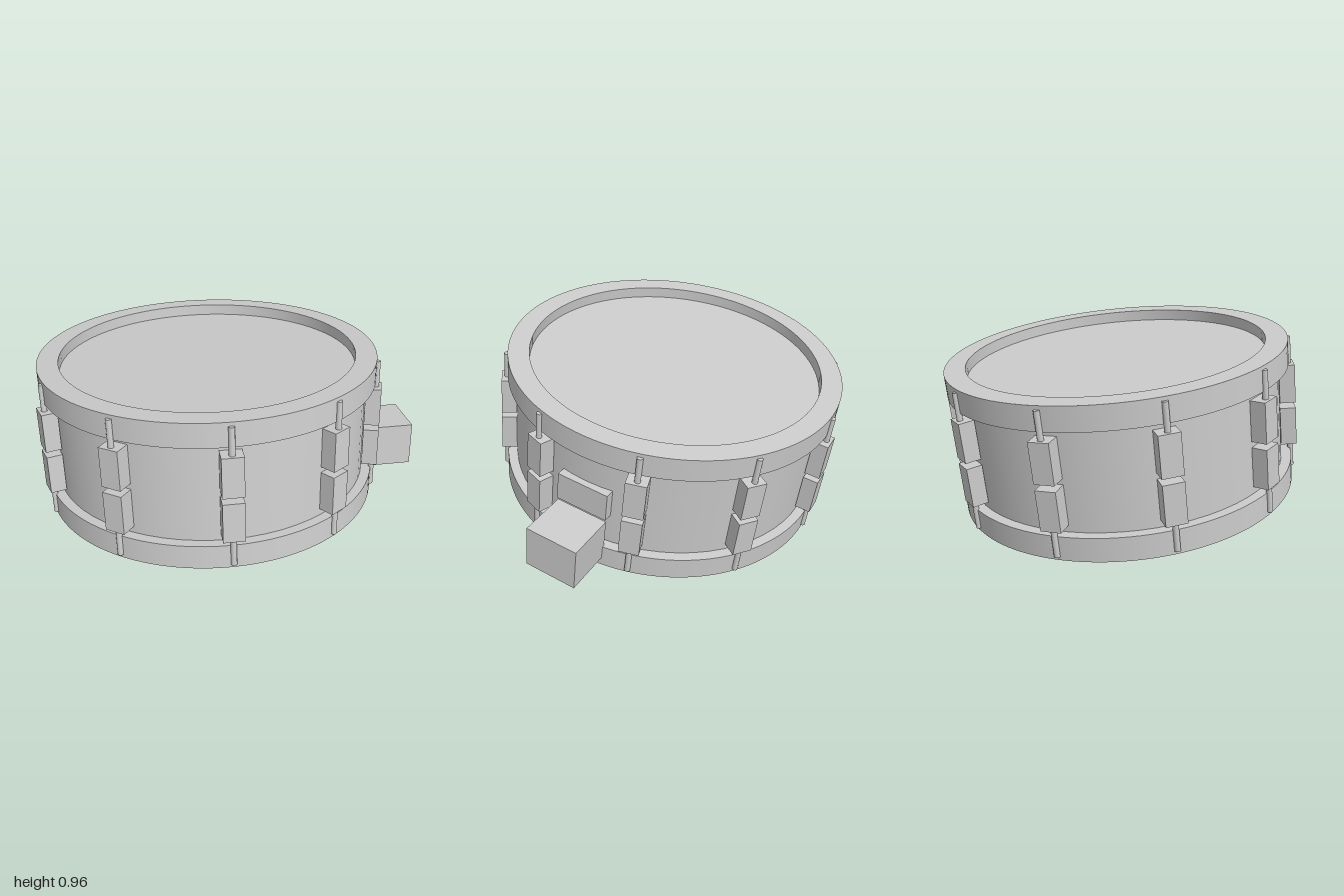
import * as THREE from 'three';

const SEG = 64, HALF = 0.377;           // half height of the drum along its own axis
const TILT = THREE.MathUtils.degToRad(6.95);

export function createModel() {
  const mat = new THREE.MeshStandardMaterial({ color: 0xcccccc });
  const model = new THREE.Group();
  model.name = 'snareDrum';

  // drum axis leans backwards, front edge raised
  const drum = new THREE.Group();
  drum.name = 'tiltedDrum';
  drum.position.set(-0.115, 0.4875, 0);
  drum.rotation.x = -TILT;
  model.add(drum);

  const add = (parent, name, geo, x = 0, y = 0, z = 0) => {
    const m = new THREE.Mesh(geo, mat);
    m.name = name;
    m.position.set(x, y, z);
    parent.add(m);
    return m;
  };

  // shell wall
  add(drum, 'shell', new THREE.CylinderGeometry(0.835, 0.835, 0.6, SEG, 1, true));

  // ring of rectangular section, flat caps and smooth walls
  const hoopShape = new THREE.Shape().absarc(0, 0, 0.885, 0, Math.PI * 2);
  hoopShape.holes.push(new THREE.Path().absarc(0, 0, 0.775, 0, Math.PI * 2, true));
  const hoopGeo = new THREE.ExtrudeGeometry(hoopShape, { depth: 0.122, bevelEnabled: false, curveSegments: SEG });
  hoopGeo.rotateX(-Math.PI / 2).translate(0, -0.061, 0);
  smoothWalls(hoopGeo);

  for (const [s, label] of [[1, 'top'], [-1, 'bottom']]) {
    add(drum, label + 'Hoop', hoopGeo, 0, s * (HALF - 0.061), 0);
    // recessed drum head
    add(drum, label + 'Head', new THREE.CylinderGeometry(0.785, 0.785, 0.02, SEG), 0, s * (HALF - 0.07), 0);
  }

  // ten lug pairs with tension rods
  const lugGeo = new THREE.BoxGeometry(0.104, 0.203, 0.08);
  const rodGeo = new THREE.CylinderGeometry(0.015, 0.015, 0.25, 12);
  for (let i = 0; i < 10; i++) {
    const station = new THREE.Group();
    station.name = 'lugStation' + (i + 1);
    station.rotation.y = i * Math.PI / 5;
    for (const [s, label] of [[1, 'upper'], [-1, 'lower']]) {
      add(station, label + 'Lug', lugGeo, 0, s * 0.1165, 0.876);
      add(station, label + 'TensionRod', rodGeo, 0, s * 0.233, 0.888);
    }
    drum.add(station);
  }

  // snare strainer on the left side
  add(drum, 'strainerPlate', new THREE.BoxGeometry(0.06, 0.155, 0.28), 0.84, -0.004, 0);
  add(drum, 'strainerBlock', new THREE.BoxGeometry(0.255, 0.235, 0.28), 0.988, -0.214, 0);

  return model;
}

// radial normals on the curved walls of a ring about the y axis
function smoothWalls(geo) {
  const p = geo.attributes.position, n = geo.attributes.normal;
  for (let i = 0; i < p.count; i++) {
    if (Math.abs(n.getY(i)) > 0.5) continue;
    const x = p.getX(i), z = p.getZ(i), r = Math.hypot(x, z);
    const side = r > 0.83 ? 1 : -1;
    n.setXYZ(i, side * x / r, 0, side * z / r);
  }
}
